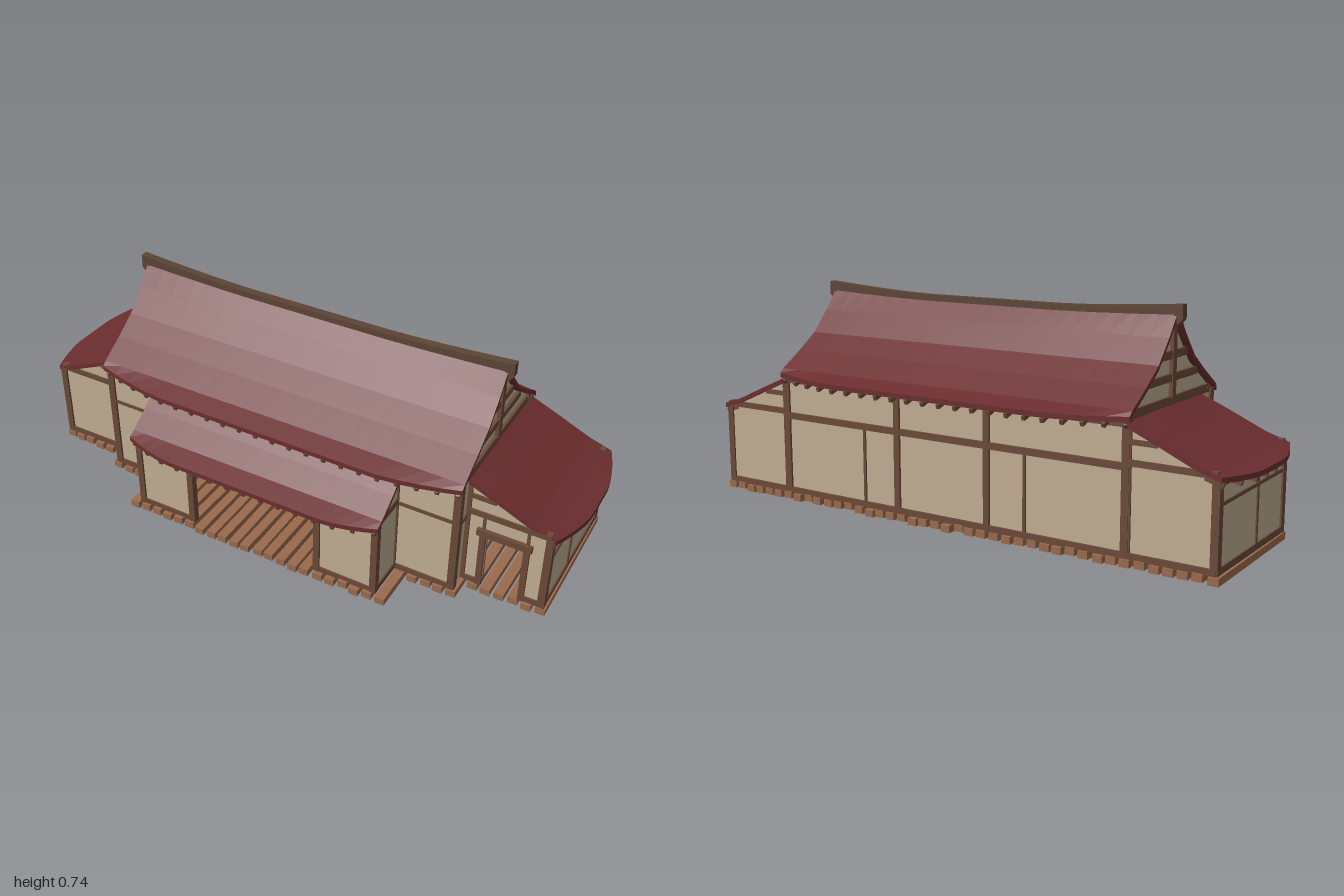
import * as THREE from 'three';

const mat = (name, color) => {
  const m = new THREE.MeshStandardMaterial({ color });
  m.name = name;
  return m;
};

export function createModel() {
  const root = new THREE.Group();
  root.name = 'longhouse';
  const roofRed = mat('roof red', 0x6b2d2f);
  const timber = mat('dark timber', 0x6a4a39);
  const plaster = mat('plaster', 0xc0ad92);
  const plankWood = mat('floor wood', 0x9a6a4c);
  const ridgeWood = mat('ridge wood', 0x5c4436);

  const add = (name, geo, material, parent = root) => {
    const m = new THREE.Mesh(geo, material);
    m.name = name;
    parent.add(m);
    return m;
  };
  // Box given by its extents
  const box = (name, material, x0, x1, y0, y1, z0, z1) => {
    const g = new THREE.BoxGeometry(Math.abs(x1 - x0), y1 - y0, Math.abs(z1 - z0));
    return add(name, g, material).position.set((x0 + x1) / 2, (y0 + y1) / 2, (z0 + z1) / 2);
  };
  // Polygon wall, 0.01 thick: in the xy plane at z, or in the zy plane at x
  const polygon = pts => new THREE.ExtrudeGeometry(
    new THREE.Shape(pts.map(p => new THREE.Vector2(...p))), { depth: 0.01, bevelEnabled: false });
  const wallXY = (name, pts, z) => add(name, polygon(pts).translate(0, 0, z - 0.005), plaster);
  const wallZY = (name, pts, x) => add(name,
    polygon(pts.map(([z, y]) => [-z, y])).rotateY(Math.PI / 2).translate(x - 0.005, 0, 0), plaster);

  // Floor planks running front to back, slightly uneven
  let seed = 7;
  const rnd = () => (seed = (seed * 16807) % 2147483647) / 2147483647 - 0.5;
  const count = 42, pitch = 1.91 / count;
  for (let i = 0; i < count; i++) {
    const x = -0.955 + pitch * (i + 0.5);
    const ax = Math.abs(x);
    const front = (ax < 0.485 ? 0.372 : ax < 0.70 ? 0.228 : 0.162) + rnd() * 0.01;
    const back = -0.362 + rnd() * 0.008;
    const p = add('floorPlank', new THREE.BoxGeometry(0.033, 0.024, front - back), plankWood);
    p.position.set(x, 0.021 + rnd() * 0.005, (front + back) / 2);
    p.rotation.set(rnd() * 0.02, rnd() * 0.012, 0);
  }

  // Curved roof slope: profile of [outward, height], eave drawn in toward its ends
  function roof(name, profile, half, flat, shrink, sag, rafters) {
    const group = new THREE.Group();
    group.name = name;
    root.add(group);
    const n = 20, t = 0.016, k = profile.length, ring = 2 * k;
    const ease = s => Math.pow(Math.max(0, (Math.abs(s) - flat) / (half - flat)), 1.6);
    const point = (s, j) => {
      const e = ease(s), last = j === k - 1;
      const lift = j === 0 ? -sag * (1 - (s / half) ** 2) : last ? 0.008 * e : 0;
      return [s, profile[j][1] + lift, profile[j][0] - (last ? shrink * e : 0)];
    };
    const pos = [], idx = [];
    for (let i = 0; i <= n; i++) {
      const s = half * (2 * i / n - 1);
      for (let j = 0; j < k; j++) pos.push(...point(s, j));
      for (let j = k - 1; j >= 0; j--) {
        const p = point(s, j);
        pos.push(p[0], p[1] - t, p[2]);
      }
    }
    for (let i = 0; i < n; i++) for (let j = 0; j < ring; j++) {
      const a = i * ring + j, b = i * ring + (j + 1) % ring;
      idx.push(a, b, a + ring, b, b + ring, a + ring);
    }
    // End caps
    for (let j = 0; j < k - 1; j++) {
      const a = j, b = j + 1, c = ring - 2 - j, d = ring - 1 - j, o = n * ring;
      idx.push(a, d, b, b, d, c);
      idx.push(o + a, o + b, o + d, o + b, o + c, o + d);
    }
    let g = new THREE.BufferGeometry();
    g.setAttribute('position', new THREE.Float32BufferAttribute(pos, 3));
    g.setIndex(idx);
    g = g.toNonIndexed();
    g.computeVertexNormals();
    add(name + 'Slope', g, roofRed, group);
    // Rafter ends under the eave
    for (let i = 0; i < rafters; i++) {
      const s = (half - 0.015) * (2 * i / (rafters - 1) - 1);
      const a = point(s, k - 2), b = point(s, k - 1);
      const dz = b[2] - a[2], dy = b[1] - a[1], len = Math.hypot(dz, dy) + 0.03;
      const r = add('rafterEnd', new THREE.BoxGeometry(0.012, 0.014, len), timber, group);
      r.position.set(s, (a[1] + b[1]) / 2 - t - 0.006, (a[2] + b[2]) / 2 - 0.02);
      r.rotation.x = -Math.atan2(dy, dz);
    }
    return group;
  }
  const mainProfile = [[0, 0.727], [0.06, 0.648], [0.125, 0.575], [0.2, 0.522], [0.285, 0.468], [0.35, 0.446]];
  const wingProfile = [[0, 0.44], [0.11, 0.393], [0.225, 0.342], [0.28, 0.325], [0.35, 0.31]];
  const porchProfile = [[0, 0.435], [0.065, 0.382], [0.135, 0.333], [0.2, 0.312]];
  for (const turn of [0, Math.PI]) {
    const r = roof('mainRoof', mainProfile, 0.67, 0.38, 0.05, 0.014, 22);
    r.position.z = -0.065;
    r.rotation.y = turn;
  }
  for (const s of [1, -1]) {
    const r = roof('wingRoof', wingProfile, 0.257, 0.07, 0.05, -0.005, 8);
    r.position.set(s * 0.65, 0, -0.103);
    r.rotation.y = s * Math.PI / 2;
  }
  roof('porchRoof', porchProfile, 0.465, 0.28, 0.04, 0, 15).position.z = 0.215;

  // Ridge beam with raised, hooked ends
  const ridge = [];
  const rise = x => Math.pow(Math.max(0, (Math.abs(x) - 0.25) / 0.44), 1.5);
  for (let i = 0; i <= 16; i++) {
    const x = -0.69 + 1.38 * i / 16;
    ridge.push([x, 0.721 + 0.024 * rise(x)]);
  }
  ridge.push([0.69, 0.70], [0.675, 0.682]);
  for (let i = 0; i <= 10; i++) {
    const x = 0.66 - 1.32 * i / 10;
    ridge.push([x, 0.70 + 0.014 * rise(x)]);
  }
  ridge.push([-0.675, 0.682], [-0.69, 0.70]);
  add('ridgeBeam', polygon(ridge).scale(1, 1, 2.7).translate(0, 0, -0.0785), ridgeWood);

  // Back wall of the main hall
  box('backWall', plaster, -0.65, 0.65, 0.035, 0.44, -0.35, -0.34);
  box('backRail', timber, -0.65, 0.65, 0.295, 0.317, -0.357, -0.335);
  box('backTopBeam', timber, -0.65, 0.65, 0.42, 0.445, -0.355, -0.335);
  box('backSill', timber, -0.94, 0.94, 0.033, 0.053, -0.357, -0.333);

  for (const s of [1, -1]) {
    // Main hall: posts, front panel, side wall
    for (const z of [-0.345, 0.211]) box('mainPost', timber, s * 0.642, s * 0.666, 0.033, 0.45, z - 0.012, z + 0.012);
    box('backPost', timber, s * 0.164, s * 0.186, 0.033, 0.44, -0.358, -0.334);
    box('thinBackPost', timber, s * 0.307, s * 0.317, 0.033, 0.30, -0.355, -0.335);
    box('frontPanel', plaster, s * 0.45, s * 0.65, 0.035, 0.44, 0.205, 0.215);
    box('frontSill', timber, s * 0.46, s * 0.65, 0.033, 0.053, 0.2, 0.221);
    box('frontRail', timber, s * 0.46, s * 0.65, 0.3, 0.312, 0.2, 0.219);
    box('sideWall', plaster, s * 0.648, s * 0.658, 0.035, 0.44, -0.34, 0.211);
    box('sideRail', timber, s * 0.646, s * 0.664, 0.29, 0.305, 0.14, 0.205);

    // Main gable with timber frame
    wallZY('gableWall', [[0.215, 0.44], [0.215, 0.488], [0.06, 0.555], [-0.065, 0.70],
      [-0.19, 0.555], [-0.345, 0.488], [-0.345, 0.44]].map(([z, y]) => [z, y > 0.48 && y < 0.5 ? 0.458 : y]), s * 0.645);
    for (const [y0, y1, h] of [[0.438, 0.466, 0.283], [0.511, 0.535, 0.17], [0.58, 0.605, 0.09]])
      box('gableBeam', timber, s * 0.638, s * 0.66, y0, y1, -0.065 - h, -0.065 + h);
    box('kingPost', timber, s * 0.638, s * 0.663, 0.46, 0.70, -0.077, -0.053);

    // Wing: end wall, posts and rails
    box('wingEndWall', plaster, s * 0.928, s * 0.938, 0.035, 0.30, -0.345, 0.142);
    for (const z of [-0.342, 0.142]) box('wingPost', timber, s * 0.92, s * 0.944, 0.033, 0.315, z - 0.013, z + 0.013);
    box('wingMidPost', timber, s * 0.925, s * 0.942, 0.033, 0.30, -0.071, -0.06);
    for (const [y0, y1] of [[0.033, 0.054], [0.23, 0.241], [0.287, 0.304]])
      box('wingEndRail', timber, s * 0.923, s * 0.943, y0, y1, -0.34, 0.14);
    // Wing faces under the sloping roof, front and back
    for (const [z, out] of [[0.143, 1], [-0.345, -1]]) {
      const y0 = out > 0 && s > 0 ? 0.25 : 0.035;
      wallXY('wingFace', [[s * 0.65, y0], [s * 0.935, y0], [s * 0.935, 0.305],
        [s * 0.875, 0.326], [s * 0.65, 0.425]], z);
      box('wingFaceBeam', timber, s * 0.66, s * 0.935, 0.309, 0.329, z - 0.01, z + 0.011);
      box('wingUpperBeam', timber, s * 0.66, s * 0.752, 0.372, 0.388, z - 0.01, z + 0.011);
      box('wingInnerPost', timber, s * 0.655, s * 0.672, 0.033, 0.42, z - 0.01, z + 0.011);
    }

    // Porch: front panel, side wall and frame
    box('porchPanel', plaster, s * 0.25, s * 0.45, 0.035, 0.305, 0.343, 0.353);
    box('porchSill', timber, s * 0.25, s * 0.45, 0.033, 0.052, 0.337, 0.358);
    for (const x of [0.242, 0.447]) box('porchPost', timber, s * (x - 0.011), s * (x + 0.011), 0.033, 0.32, 0.336, 0.36);
    wallZY('porchSide', [[0.215, 0.035], [0.35, 0.035], [0.35, 0.318], [0.28, 0.366], [0.215, 0.418]], s * 0.447);
    box('porchInnerPost', timber, s * 0.436, s * 0.458, 0.033, 0.42, 0.2, 0.222);
    for (const [y0, y1, z1] of [[0.033, 0.054, 0.35], [0.304, 0.328, 0.345], [0.378, 0.4, 0.24]])
      box('porchSideBeam', timber, s * 0.437, s * 0.457, y0, y1, 0.21, z1);
  }
  box('porchTopBeam', timber, -0.45, 0.45, 0.297, 0.315, 0.337, 0.358);

  // Doorway in the left wing
  box('doorWallInner', plaster, 0.65, 0.73, 0.035, 0.25, 0.138, 0.148);
  box('doorWallOuter', plaster, 0.86, 0.935, 0.035, 0.25, 0.138, 0.148);
  for (const x of [0.72, 0.865]) {
    box('doorPost', timber, x - 0.01, x + 0.01, 0.033, 0.25, 0.132, 0.157);
    box('doorUpperPost', timber, x - 0.005, x + 0.005, 0.26, 0.315, 0.134, 0.152);
  }
  box('doorLintel', timber, 0.70, 0.882, 0.24, 0.264, 0.131, 0.162);
  box('doorSideSill', timber, 0.66, 0.715, 0.033, 0.053, 0.133, 0.154);
  box('doorSideSill', timber, 0.87, 0.93, 0.033, 0.053, 0.133, 0.154);
  box('rightWingSill', timber, -0.93, -0.66, 0.033, 0.053, 0.133, 0.154);
  return root;
}
